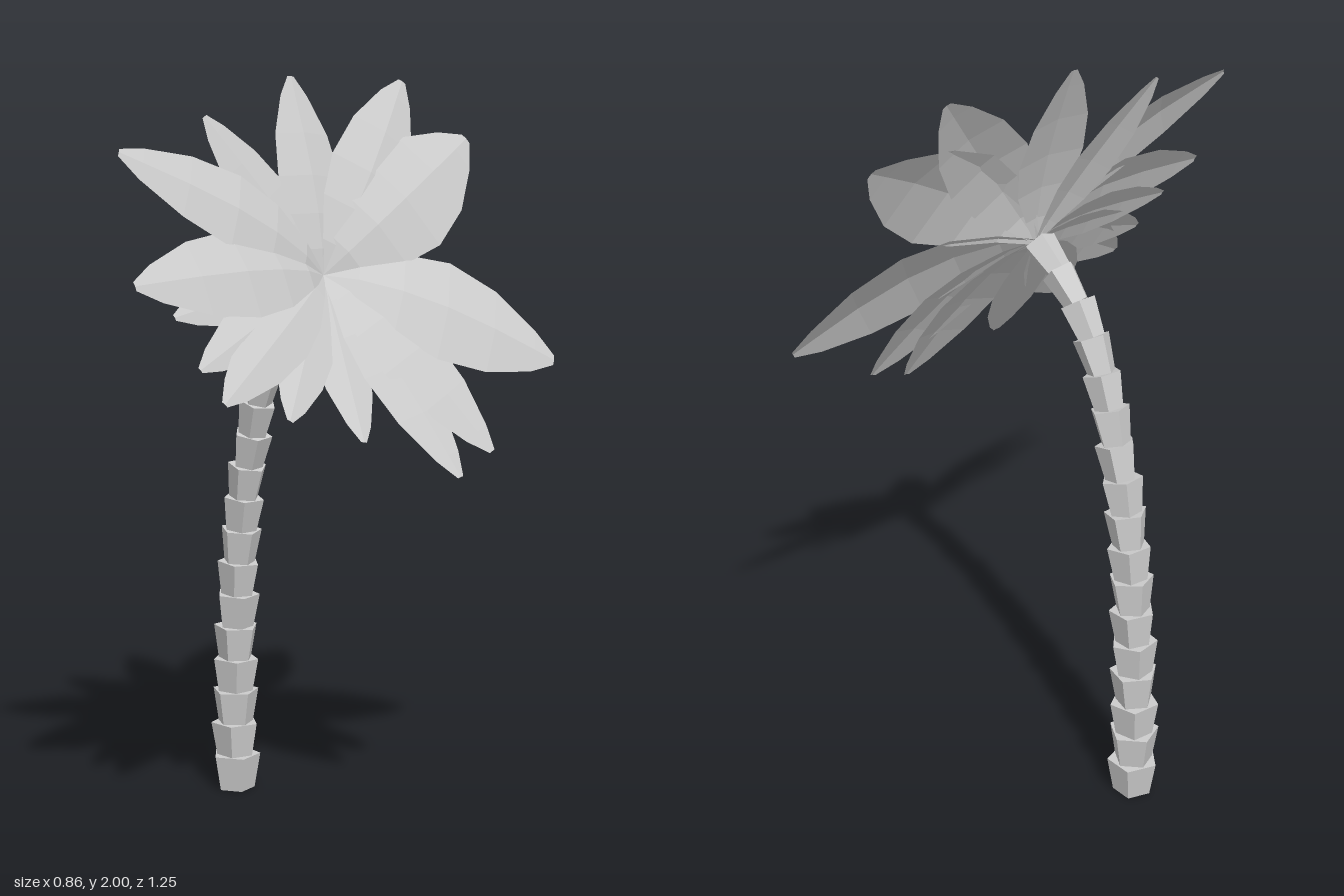
import * as THREE from 'three';

const material = new THREE.MeshStandardMaterial({ color: 0xcccccc, flatShading: true, side: THREE.DoubleSide });
const crown = new THREE.Vector3(0.03, 1.49, -0.045);
const outward = new THREE.Vector3(0.865, 0.5, 0).normalize();
const up = new THREE.Vector3(0, 1, 0);

// One flared trunk ring between two points
function trunkRing(from, to, topRadius, bottomRadius, turn) {
  const axis = to.clone().sub(from);
  const geometry = new THREE.CylinderGeometry(topRadius, bottomRadius, axis.length() * 1.06, 5);
  geometry.rotateY(turn);
  const ring = new THREE.Mesh(geometry, material);
  ring.quaternion.setFromUnitVectors(up, axis.normalize());
  ring.position.copy(from).lerp(to, 0.5);
  return ring;
}

// Folded, arched leaf: cross-sections of edge, ridge, edge from the crown to the tip
const outline = [[0, 0.08], [0.12, 0.4], [0.29, 0.82], [0.48, 1], [0.7, 0.84], [0.9, 0.43], [1, 0.1]];
function leafGeometry(tip, halfWidth, arch) {
  const direction = tip.clone().sub(crown);
  const side = new THREE.Vector3().crossVectors(outward, direction).normalize();
  const points = [];
  const index = [];
  outline.forEach(([t, w], row) => {
    const width = w * halfWidth;
    for (const s of [-1, 0, 1]) {
      const lift = arch * Math.sin(Math.PI * t ** 0.75) - Math.abs(s) * width * 0.14;
      const p = crown.clone().addScaledVector(direction, t)
        .addScaledVector(side, s * width).addScaledVector(outward, lift);
      points.push(p.x, p.y, p.z);
    }
    if (row === 0) return;
    for (let k = 0; k < 2; k++) {
      const a = (row - 1) * 3 + k, b = a + 3;
      index.push(a, a + 1, b, a + 1, b + 1, b);
    }
  });
  const geometry = new THREE.BufferGeometry();
  geometry.setAttribute('position', new THREE.Float32BufferAttribute(points, 3));
  geometry.setIndex(index);
  geometry.computeVertexNormals();
  return geometry;
}

export function createModel() {
  const palm = new THREE.Group();
  palm.name = 'palmTree';

  // Curved trunk of stacked rings
  const trunk = new THREE.Group();
  trunk.name = 'trunk';
  const path = new THREE.CatmullRomCurve3([
    [-0.365, 0.005], [-0.365, 0.3], [-0.35, 0.6], [-0.32, 0.85],
    [-0.27, 1.06], [-0.205, 1.25], [-0.11, 1.39], [0.02, 1.485],
  ].map(([x, y]) => new THREE.Vector3(x, y, -0.042)));
  const count = 17;
  const stops = path.getSpacedPoints(count);
  for (let i = 0; i < count; i++) {
    const f = i / (count - 1);
    const ring = trunkRing(stops[i], stops[i + 1], 0.07 - 0.025 * f, 0.053 - 0.02 * f, i * 0.75);
    ring.name = 'trunkRing' + (i + 1);
    trunk.add(ring);
  }
  palm.add(trunk);

  // Tilted, shallow cup of leaves: tip x, y, z, half width and arch
  const leaves = new THREE.Group();
  leaves.name = 'leaves';
  [
    [-0.02, 1.82, 0.55, 0.11, 0.055],
    [-0.11, 1.9, 0.23, 0.09, 0.01],
    [-0.155, 2.0, -0.08, 0.1, 0.025],
    [-0.12, 1.985, -0.435, 0.115, 0.045],
    [-0.03, 1.83, -0.59, 0.155, 0.06],
    [0.3, 1.25, -0.62, 0.155, 0.06],
    [0.405, 1.05, -0.305, 0.11, 0.04],
    [0.43, 1.0, -0.175, 0.1, 0.03],
    [0.33, 1.1, 0.06, 0.085, 0],
    [0.3, 1.17, 0.27, 0.085, 0.005],
    [0.305, 1.23, 0.47, 0.09, 0.03],
    [0.255, 1.31, 0.505, 0.08, 0.02],
    [0.15, 1.51, 0.62, 0.12, 0.055],
    [0.17, 1.43, 0.52, 0.08, 0.025],
  ].forEach(([x, y, z, halfWidth, arch], i) => {
    const leaf = new THREE.Mesh(leafGeometry(new THREE.Vector3(x, y, z), halfWidth, arch), material);
    leaf.name = 'leaf' + (i + 1);
    leaves.add(leaf);
  });
  palm.add(leaves);
  return palm;
}
